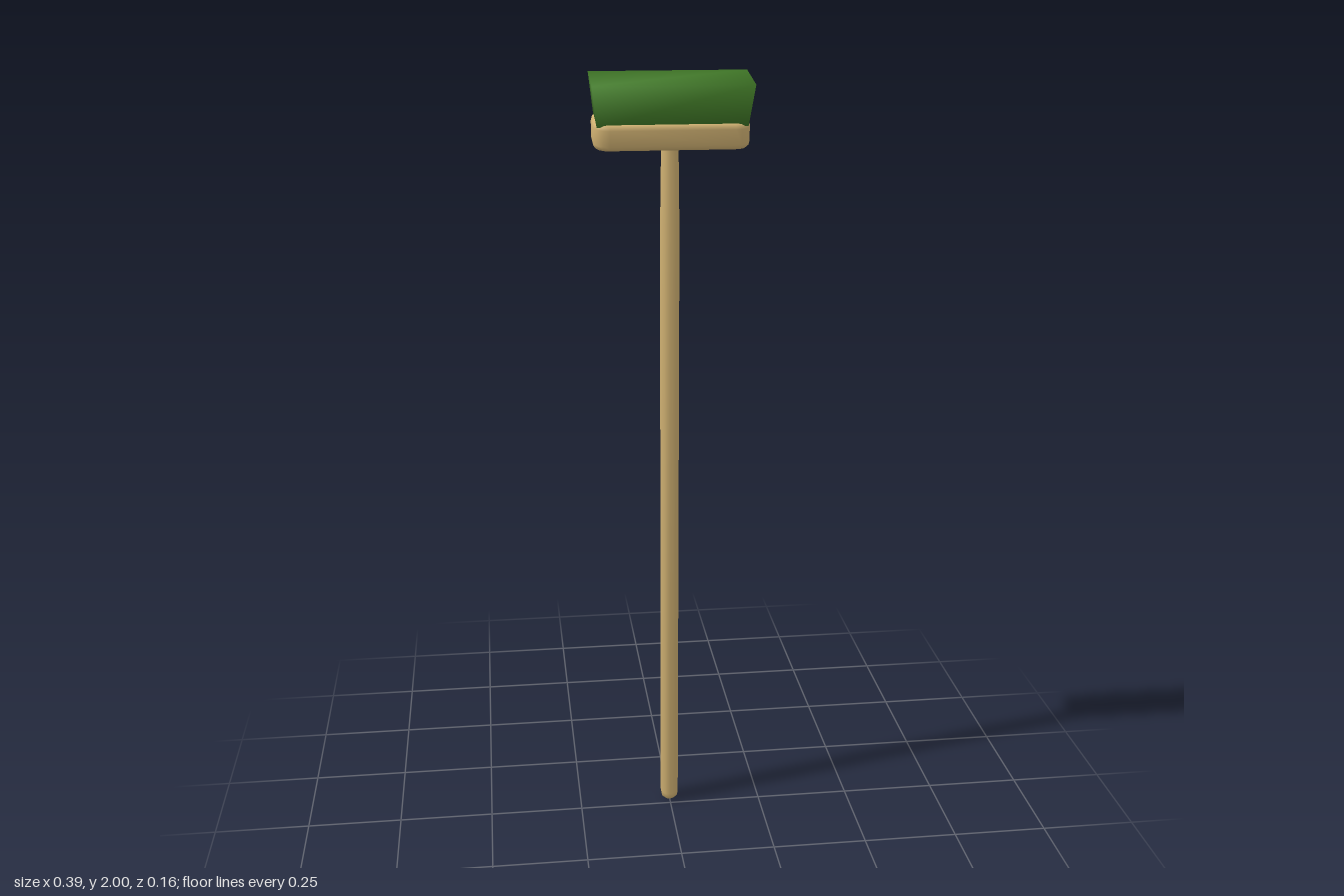
import * as THREE from 'three';
import { mergeVertices, toCreasedNormals } from 'three/addons/utils/BufferGeometryUtils.js';

const wood = new THREE.MeshStandardMaterial({ color: 0xd0b172 });
wood.name = 'pale wood';
const green = new THREE.MeshStandardMaterial({ color: 0x427b28 });
green.name = 'green bristle';

function part(name, geometry, material) {
  const mesh = new THREE.Mesh(geometry, material);
  mesh.name = name;
  return mesh;
}

// Wooden block: rounded rectangle in plan with softened rims, centred on the origin
function blockGeometry(width, depth, height, corner, bevel) {
  const x = width / 2 - bevel, y = depth / 2 - bevel, r = corner;
  const shape = new THREE.Shape();
  shape.moveTo(-x + r, -y);
  shape.lineTo(x - r, -y);
  shape.quadraticCurveTo(x, -y, x, -y + r);
  shape.lineTo(x, y - r);
  shape.quadraticCurveTo(x, y, x - r, y);
  shape.lineTo(-x + r, y);
  shape.quadraticCurveTo(-x, y, -x, y - r);
  shape.lineTo(-x, -y + r);
  shape.quadraticCurveTo(-x, -y, -x + r, -y);
  const g = new THREE.ExtrudeGeometry(shape, {
    depth: height - 2 * bevel, bevelEnabled: true, bevelSize: bevel,
    bevelThickness: bevel, bevelSegments: 3, curveSegments: 4,
  });
  g.translate(0, 0, bevel - height / 2);
  g.rotateX(-Math.PI / 2);
  return toCreasedNormals(g, 0.9);
}

// Bristles: a box flaring from its root to its tip, shaded softly round the edges
function bristleGeometry() {
  const bottom = 0.025, top = 0.126;
  const g = new THREE.BoxGeometry(1, 1, 1);
  const p = g.attributes.position;
  for (let i = 0; i < p.count; i++) {
    const t = p.getY(i) + 0.5;
    p.setXYZ(i,
      p.getX(i) * THREE.MathUtils.lerp(0.362, 0.386, t),
      THREE.MathUtils.lerp(bottom, top, t),
      p.getZ(i) * THREE.MathUtils.lerp(0.116, 0.135, t));
  }
  g.deleteAttribute('normal');
  g.deleteAttribute('uv');
  const smooth = mergeVertices(g);
  smooth.computeVertexNormals();
  return smooth;
}

export function createModel() {
  const broom = new THREE.Group();
  broom.name = 'broom';

  // Handle: slim round pole with a blunt end, leaning very slightly forward
  const profile = [[0, 0], [0.014, 0.002], [0.022, 0.01], [0.0245, 0.024],
    [0.0245, 1.62], [0.022, 1.8], [0.021, 1.85], [0, 1.85]]
    .map(([r, y]) => new THREE.Vector2(r, y));
  const handle = part('handle', toCreasedNormals(new THREE.LatheGeometry(profile, 10), 0.9), wood);
  handle.position.z = -0.031;
  handle.rotation.x = 0.009;
  broom.add(handle);

  // Head: block and bristles tilted towards the front
  const head = new THREE.Group();
  head.name = 'head';
  head.position.set(0, 1.8625, -0.009);
  head.rotation.x = 0.172;
  head.add(part('headBlock', blockGeometry(0.378, 0.133, 0.066, 0.026, 0.014), wood));
  head.add(part('bristles', bristleGeometry(), green));
  broom.add(head);

  return broom;
}
